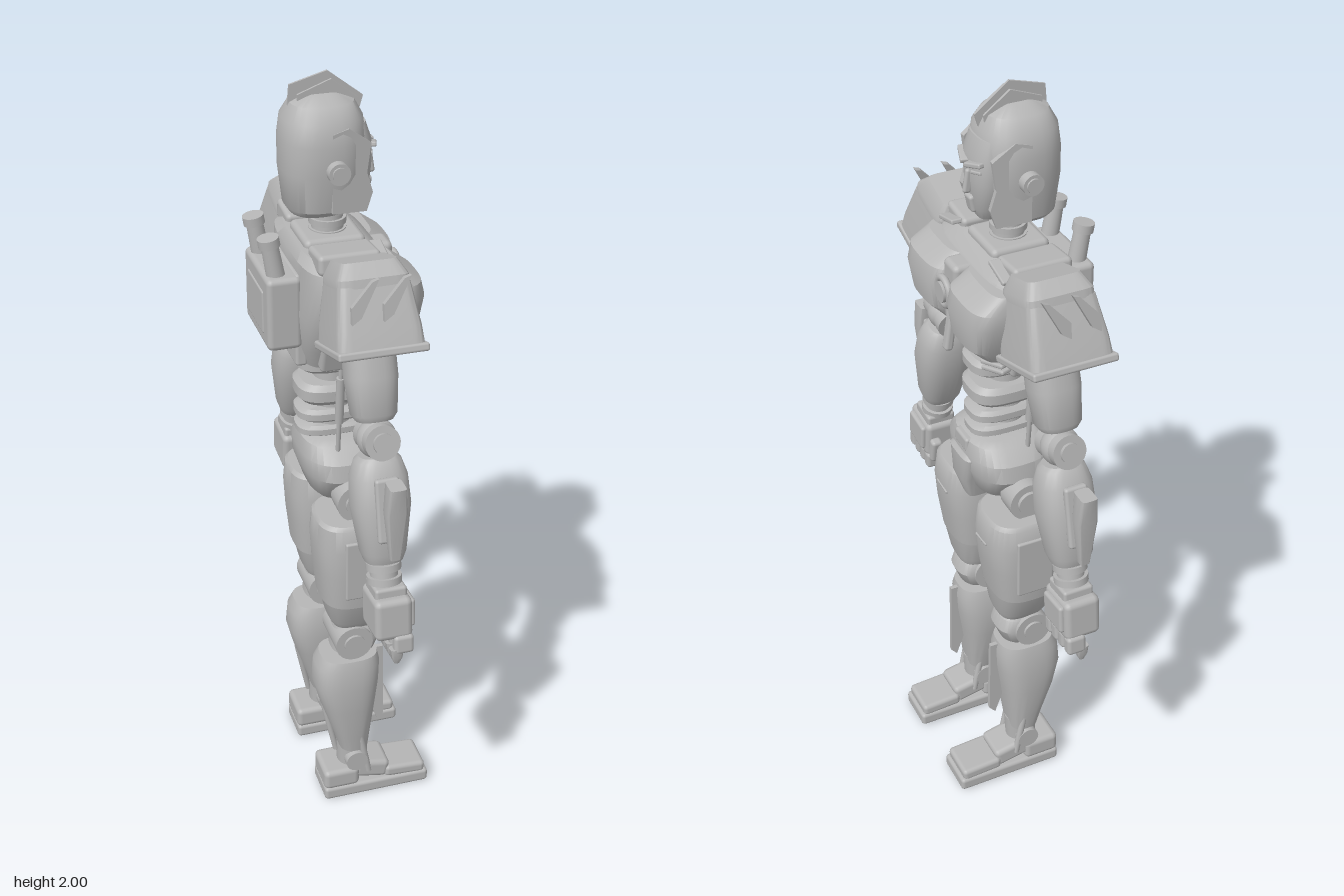
import * as THREE from 'three';
import { toCreasedNormals } from 'three/addons/utils/BufferGeometryUtils.js';
import { RoundedBoxGeometry } from 'three/addons/geometries/RoundedBoxGeometry.js';

const metal = new THREE.MeshStandardMaterial({ name: 'grey metal', color: 0xb6b6b6 });

// Closed loft along y; each ring is [y, halfWidth, halfDepth, centreX, centreZ], n sets squareness
function loft(rings, n = 2, seg = 32) {
  const pos = [], idx = [];
  const pw = v => Math.sign(v) * Math.pow(Math.abs(v), 2 / n);
  for (const [y, rx, rz, cx = 0, cz = 0] of rings)
    for (let i = 0; i < seg; i++) {
      const a = (i / seg) * Math.PI * 2;
      pos.push(cx + rx * pw(Math.cos(a)), y, cz + rz * pw(Math.sin(a)));
    }
  for (let j = 0; j < rings.length - 1; j++)
    for (let i = 0; i < seg; i++) {
      const k = (i + 1) % seg, a = j * seg + i, c = j * seg + k;
      idx.push(a, a + seg, c, c, a + seg, c + seg);
    }
  const last = rings.length - 1, c0 = rings.length * seg;
  for (const r of [rings[0], rings[last]]) pos.push(r[3] || 0, r[0], r[4] || 0);
  for (let i = 0; i < seg; i++) {
    const k = (i + 1) % seg;
    idx.push(c0, i, k, c0 + 1, last * seg + k, last * seg + i);
  }
  const g = new THREE.BufferGeometry();
  g.setAttribute('position', new THREE.Float32BufferAttribute(pos, 3));
  g.setIndex(idx);
  return toCreasedNormals(g, 0.6);
}
const box = (w, h, d, r = 0.008) => new RoundedBoxGeometry(w, h, d, 2, Math.min(r, w / 2.1, h / 2.1, d / 2.1));
const cyl = (r1, r2, h) => new THREE.CylinderGeometry(r1, r2, h, 24);
const discX = (r, h) => cyl(r, r, h).rotateZ(Math.PI / 2);
const discZ = (r, h) => cyl(r, r, h).rotateX(Math.PI / 2);
// Flat plate drawn as [forward, up] points, thickness across x
function plate(points, t) {
  const s = new THREE.Shape(points.map(p => new THREE.Vector2(...p)));
  return new THREE.ExtrudeGeometry(s, { depth: t, bevelEnabled: false }).translate(0, 0, -t / 2).rotateY(-Math.PI / 2);
}
function rod(a, b, r1, r2 = r1) {
  const A = new THREE.Vector3(...a), B = new THREE.Vector3(...b), d = B.clone().sub(A);
  const g = new THREE.CylinderGeometry(r2, r1, d.length(), 12);
  g.applyQuaternion(new THREE.Quaternion().setFromUnitVectors(new THREE.Vector3(0, 1, 0), d.normalize()));
  return g.translate(...A.add(B).multiplyScalar(0.5).toArray());
}
function add(parent, name, geo, p = [0, 0, 0], r = [0, 0, 0]) {
  const m = new THREE.Mesh(geo, metal);
  m.name = name;
  m.position.set(...p);
  m.rotation.set(...r);
  parent.add(m);
  return m;
}
function sub(parent, name, p = [0, 0, 0], rz = 0) {
  const g = new THREE.Group();
  g.name = name;
  g.position.set(...p);
  g.rotation.z = rz;
  parent.add(g);
  return g;
}

function buildHead(root) {
  const h = sub(root, 'head');
  add(h, 'helmet', loft([[1.675, 0.07, 0.065, 0, -0.055], [1.69, 0.086, 0.082, 0, -0.048], [1.78, 0.1, 0.1, 0, -0.04],
    [1.85, 0.1, 0.1, 0, -0.04], [1.9, 0.09, 0.094, 0, -0.04], [1.935, 0.065, 0.075, 0, -0.04], [1.953, 0.025, 0.035, 0, -0.04]], 2.5));
  add(h, 'face', loft([[1.68, 0.03, 0.025, 0, 0.03], [1.71, 0.05, 0.045, 0, 0.025], [1.78, 0.068, 0.05, 0, 0.025],
    [1.84, 0.07, 0.05, 0, 0.025], [1.885, 0.06, 0.04, 0, 0.02]], 2.6));
  add(h, 'nose', box(0.014, 0.06, 0.02), [0, 1.775, 0.077], [-0.15, 0, 0]);
  add(h, 'mouthGuard', box(0.035, 0.045, 0.02), [0, 1.72, 0.068], [0.2, 0, 0]);
  add(h, 'neckCore', cyl(0.036, 0.04, 0.13), [0, 1.64, -0.025]);
  for (const y of [1.615, 1.642, 1.669]) add(h, 'neckRing', cyl(0.045, 0.045, 0.015), [0, y, -0.025]);
  for (const x of [-0.016, 0, 0.016])
    add(h, 'crestFin', plate(x ? [[-0.1, 1.93], [-0.1, 1.955], [-0.02, 1.985], [0.045, 1.935], [0.04, 1.905], [-0.02, 1.94]]
      : [[-0.12, 1.92], [-0.115, 1.975], [-0.025, 2], [0.06, 1.935], [0.05, 1.9], [-0.02, 1.94]], 0.006), [x, 0, 0]);
  for (const s of [1, -1]) {
    add(h, 'brow', box(0.055, 0.012, 0.025, 0.004), [s * 0.03, 1.828, 0.072], [0, s * 0.3, s * 0.25]);
    add(h, 'eye', box(0.035, 0.008, 0.01, 0.003), [s * 0.032, 1.808, 0.07], [0, s * 0.3, s * 0.2]);
    add(h, 'cheekGuard', plate([[-0.04, 1.69], [0.045, 1.685], [0.06, 1.73], [0.045, 1.78], [0.055, 1.85], [0, 1.89], [-0.04, 1.88]], 0.014), [s * 0.084, 0, 0], [0, -s * 0.12, 0]);
    add(h, 'earDisc', discX(0.026, 0.04), [s * 0.102, 1.795, -0.03]);
    add(h, 'earCap', discX(0.018, 0.05), [s * 0.102, 1.795, -0.03]);
  }
}

function buildTorso(root) {
  const t = sub(root, 'torso');
  add(t, 'chest', loft([[1.31, 0.125, 0.085, 0, -0.025], [1.36, 0.15, 0.105, 0, -0.02], [1.45, 0.195, 0.115, 0, -0.015],
    [1.54, 0.215, 0.115, 0, -0.01], [1.58, 0.2, 0.105, 0, -0.02], [1.602, 0.16, 0.08, 0, -0.03]], 4));
  add(t, 'breastbone', box(0.07, 0.17, 0.08, 0.015), [0, 1.49, 0.09]);
  add(t, 'chestRing', new THREE.TorusGeometry(0.034, 0.009, 10, 28), [0, 1.5, 0.142]);
  add(t, 'chestLens', discZ(0.026, 0.05), [0, 1.5, 0.13]);
  add(t, 'chestTab', box(0.026, 0.12, 0.022), [0, 1.395, 0.128], [-0.15, 0, 0]);
  add(t, 'collar', box(0.15, 0.04, 0.15, 0.015), [0, 1.6, -0.025]);
  add(t, 'backPlate', box(0.2, 0.24, 0.03), [0, 1.43, -0.118]);
  add(t, 'backpack', box(0.22, 0.185, 0.085, 0.014), [0, 1.455, -0.16]);
  add(t, 'backpackPanel', box(0.14, 0.11, 0.012, 0.005), [0, 1.45, -0.2]);
  for (const s of [1, -1]) {
    add(t, 'pectoral', loft([[1.39, 0.075, 0.045, s * 0.105, 0.07], [1.43, 0.09, 0.07, s * 0.112, 0.085], [1.5, 0.1, 0.08, s * 0.116, 0.085],
      [1.54, 0.1, 0.075, s * 0.117, 0.08], [1.575, 0.09, 0.045, s * 0.115, 0.06]], 3.2));
    add(t, 'trapezius', box(0.1, 0.05, 0.15, 0.012), [s * 0.14, 1.6, -0.025], [0, 0, s * 0.1]);
    add(t, 'collarFin', box(0.08, 0.012, 0.03, 0.004), [s * 0.14, 1.605, 0.06], [0, 0, -s * 0.25]);
    for (let i = 0; i < 4; i++) add(t, 'rib', box(0.075, 0.012, 0.05, 0.005), [s * (0.135 - i * 0.009), 1.4 - i * 0.025, 0.072 - i * 0.007], [0, s * 0.35, s * 0.2]);
    add(t, 'sideRib', box(0.04, 0.1, 0.12, 0.01), [s * 0.14, 1.36, -0.025], [0, 0, -s * 0.3]);
    add(t, 'thruster', cyl(0.02, 0.023, 0.12), [s * 0.07, 1.58, -0.178], [-0.17, 0, 0]);
    add(t, 'thrusterRim', cyl(0.026, 0.026, 0.022), [s * 0.07, 1.63, -0.187], [-0.17, 0, 0]);
    add(t, 'waistPiston', rod([s * 0.105, 1.06, -0.03], [s * 0.135, 1.33, -0.03], 0.006));
    add(t, 'waistPistonSleeve', rod([s * 0.115, 1.15, -0.03], [s * 0.129, 1.28, -0.03], 0.011));
  }
  // Stacked waist segments
  add(t, 'spine', cyl(0.045, 0.05, 0.28), [0, 1.19, -0.015]);
  [[1.28, 0.072, 0.042], [1.2, 0.077, 0.055], [1.135, 0.063, 0.035], [1.09, 0.058, 0.03]].forEach(([y, w, h]) =>
    add(t, 'waistSegment', loft([[y - h / 2, w * 0.85, 0.085, 0, -0.012], [y - h / 4, w, 0.098, 0, -0.012], [y + h / 4, w, 0.098, 0, -0.012], [y + h / 2, w * 0.85, 0.085, 0, -0.012]], 3)));

  const p = sub(root, 'pelvis');
  add(p, 'hipShell', loft([[0.885, 0.05, 0.05], [0.93, 0.115, 0.085], [0.99, 0.148, 0.105], [1.035, 0.14, 0.108], [1.07, 0.105, 0.1], [1.08, 0.08, 0.085]], 2.8));
  add(p, 'groinPlate', loft([[0.885, 0.028, 0.03, 0, 0.065], [0.95, 0.045, 0.05, 0, 0.068], [1.02, 0.062, 0.05, 0, 0.068], [1.03, 0.055, 0.045, 0, 0.065]], 4));
  add(p, 'beltBuckle', box(0.07, 0.04, 0.03), [0, 1.055, 0.092]);
}

function buildLeg(root, s) {
  const g = sub(root, s > 0 ? 'leftLeg' : 'rightLeg'), X = s * 0.128;
  const at = (x, y, z) => [s * x, y, z];
  add(g, 'hipPod', discX(0.052, 0.06), at(0.148, 0.945, 0));
  add(g, 'hipCap', discX(0.032, 0.075), at(0.15, 0.945, 0));
  add(g, 'upperThigh', loft([[0.655, 0.092, 0.088, X, 0.0], [0.75, 0.1, 0.1, X, 0.002], [0.83, 0.1, 0.106, X, 0.003],
    [0.89, 0.092, 0.1, X, 0.002], [0.9, 0.084, 0.092, X, 0.002]], 3));
  add(g, 'lowerThigh', loft([[0.565, 0.06, 0.062, s * 0.122, 0.005], [0.585, 0.07, 0.07, s * 0.124, 0.004], [0.66, 0.089, 0.085, X, 0.002]], 3));
  add(g, 'thighSlot', box(0.06, 0.008, 0.01, 0.003), at(0.122, 0.822, 0.106), [0, 0, s * 0.08]);
  add(g, 'thighSidePanel', box(0.012, 0.17, 0.1, 0.005), at(0.224, 0.775, 0.005));
  add(g, 'kneeBall', loft([[0.46, 0.035, 0.04, X], [0.48, 0.054, 0.058, X], [0.52, 0.062, 0.064, X, 0.01], [0.555, 0.056, 0.058, X, 0.006], [0.575, 0.04, 0.04, X]], 2.6));
  add(g, 'kneeDisc', discX(0.05, 0.128), [X, 0.52, -0.01]);
  add(g, 'kneeBolt', discX(0.028, 0.142), [X, 0.52, -0.01]);
  add(g, 'shin', loft([[0.15, 0.05, 0.04, s * 0.137, 0], [0.2, 0.058, 0.05, s * 0.135, -0.004], [0.3, 0.074, 0.073, s * 0.131, -0.014],
    [0.37, 0.077, 0.087, X, -0.018], [0.43, 0.071, 0.086, X, -0.014], [0.458, 0.062, 0.076, X, -0.01]], 2.8));
  add(g, 'shinBlade', plate([[0.04, 0.3], [0.075, 0.2], [0.092, 0.22], [0.088, 0.45], [0.06, 0.45]], 0.012), [X, 0, 0]);
  add(g, 'calfRod', rod([s * 0.137, 0.13, -0.045], [X, 0.3, -0.08], 0.008));
  // Ankle and foot
  const F = s * 0.138;
  add(g, 'ankle', cyl(0.045, 0.04, 0.1), [F, 0.12, 0]);
  add(g, 'ankleDisc', discX(0.03, 0.11), [F, 0.115, 0]);
  for (const d of [-1, 1]) add(g, 'ankleStrut', rod([F + d * 0.045, 0.07, 0.035], [F + d * 0.045, 0.2, 0.01], 0.009));
  add(g, 'sole', box(0.118, 0.038, 0.297, 0.01), [F, 0.019, 0.057]);
  add(g, 'heel', box(0.114, 0.06, 0.1, 0.015), [F, 0.062, -0.042]);
  add(g, 'instep', box(0.1, 0.055, 0.1, 0.015), [F, 0.07, 0.045], [0.2, 0, 0]);
  add(g, 'toeCap', box(0.11, 0.035, 0.115, 0.012), [F, 0.05, 0.14], [0.06, 0, 0]);
}

function buildArm(root, s) {
  const g = sub(root, s > 0 ? 'leftArm' : 'rightArm');
  // Flared shoulder guard with raised cap and swept fins
  const pad = sub(g, 'shoulderGuard', [s * 0.292, 1.445, -0.007], s * 0.3);
  add(pad, 'guardRim', box(0.208, 0.02, 0.215, 0.006));
  add(pad, 'guardSkirt', loft([[0, 0.1, 0.104], [0.05, 0.095, 0.1], [0.15, 0.077, 0.085]], 10, 40));
  add(pad, 'guardCap', loft([[0.14, 0.08, 0.086, -s * 0.002], [0.165, 0.08, 0.085, -s * 0.002], [0.2, 0.058, 0.066, -s * 0.006]], 7, 40));
  for (const z of [-0.07, 0.005])
    add(pad, 'guardFin', plate([[0, 0], [0.022, 0.015], [0.066, 0.1], [0.05, 0.095], [0, 0.04]], 0.014), [s * 0.098, 0.07, z], [0, 0, -s * 0.15]);
  add(g, 'shoulderBall', new THREE.SphereGeometry(0.07, 24, 16), [s * 0.24, 1.48, -0.01]);

  const up = sub(g, 'upperArmGroup', [s * 0.255, 1.45, -0.005], s * 0.3);
  add(up, 'upperArm', loft([[-0.195, 0.042, 0.044], [-0.18, 0.052, 0.054], [-0.09, 0.062, 0.062], [0.02, 0.06, 0.06]], 2.6));
  add(g, 'elbow', new THREE.SphereGeometry(0.048, 24, 16), [s * 0.328, 1.22, -0.003]);
  add(g, 'elbowDisc', discX(0.043, 0.1), [s * 0.328, 1.22, -0.003], [0, 0, s * 0.25]);
  add(g, 'elbowBolt', discX(0.025, 0.118), [s * 0.328, 1.22, -0.003], [0, 0, s * 0.25]);

  const fore = sub(g, 'forearmGroup', [s * 0.332, 1.18, -0.003], s * 0.22);
  add(fore, 'forearm', loft([[-0.265, 0.044, 0.046], [-0.24, 0.055, 0.055], [-0.12, 0.068, 0.072], [-0.05, 0.062, 0.068], [-0.01, 0.048, 0.055], [0, 0.04, 0.045]], 2.6));
  add(fore, 'forearmPanel', box(0.02, 0.16, 0.06), [s * 0.066, -0.12, 0]);
  add(fore, 'wrist', cyl(0.034, 0.034, 0.1), [0, -0.295, 0]);
  for (const y of [-0.28, -0.315]) add(fore, 'wristRing', cyl(0.043, 0.043, 0.018), [0, y, 0]);
  add(g, 'forearmBlade', loft([[0.97, 0.012, 0.012, s * 0.465], [1.1, 0.02, 0.026, s * 0.465], [1.17, 0.026, 0.02, s * 0.464]], 6));
  add(g, 'bladeMount', box(0.06, 0.04, 0.03), [s * 0.43, 1.07, 0]);

  const hand = sub(g, 'hand', [s * 0.42, 0.79, 0], s * 0.1);
  add(hand, 'palm', box(0.12, 0.11, 0.095, 0.016), [0, 0, 0]);
  add(hand, 'handBackPlate', box(0.09, 0.075, 0.02), [0, 0.005, 0.048]);
  add(hand, 'handCuff', box(0.085, 0.035, 0.08), [-s * 0.005, 0.06, 0]);
  for (let i = 0; i < 4; i++) {
    const x = (i - 1.5) * 0.034;
    add(hand, 'knuckle', box(0.03, 0.05, 0.05, 0.01), [x, -0.068, 0.022]);
    add(hand, 'fingertip', loft([[-0.122, 0.004, 0.006], [-0.105, 0.011, 0.014], [-0.08, 0.014, 0.018]], 3, 12), [x, 0, 0.005]);
  }
  add(hand, 'thumb', box(0.028, 0.075, 0.032, 0.01), [-s * 0.066, -0.025, 0.025], [0, 0, s * 0.1]);
}

export function createModel() {
  const root = new THREE.Group();
  root.name = 'robot';
  const body = sub(root, 'body');
  body.rotation.y = Math.PI / 2; // built facing +z, turned to face +x
  buildHead(body);
  buildTorso(body);
  for (const s of [1, -1]) {
    buildLeg(body, s);
    buildArm(body, s);
  }
  return root;
}
